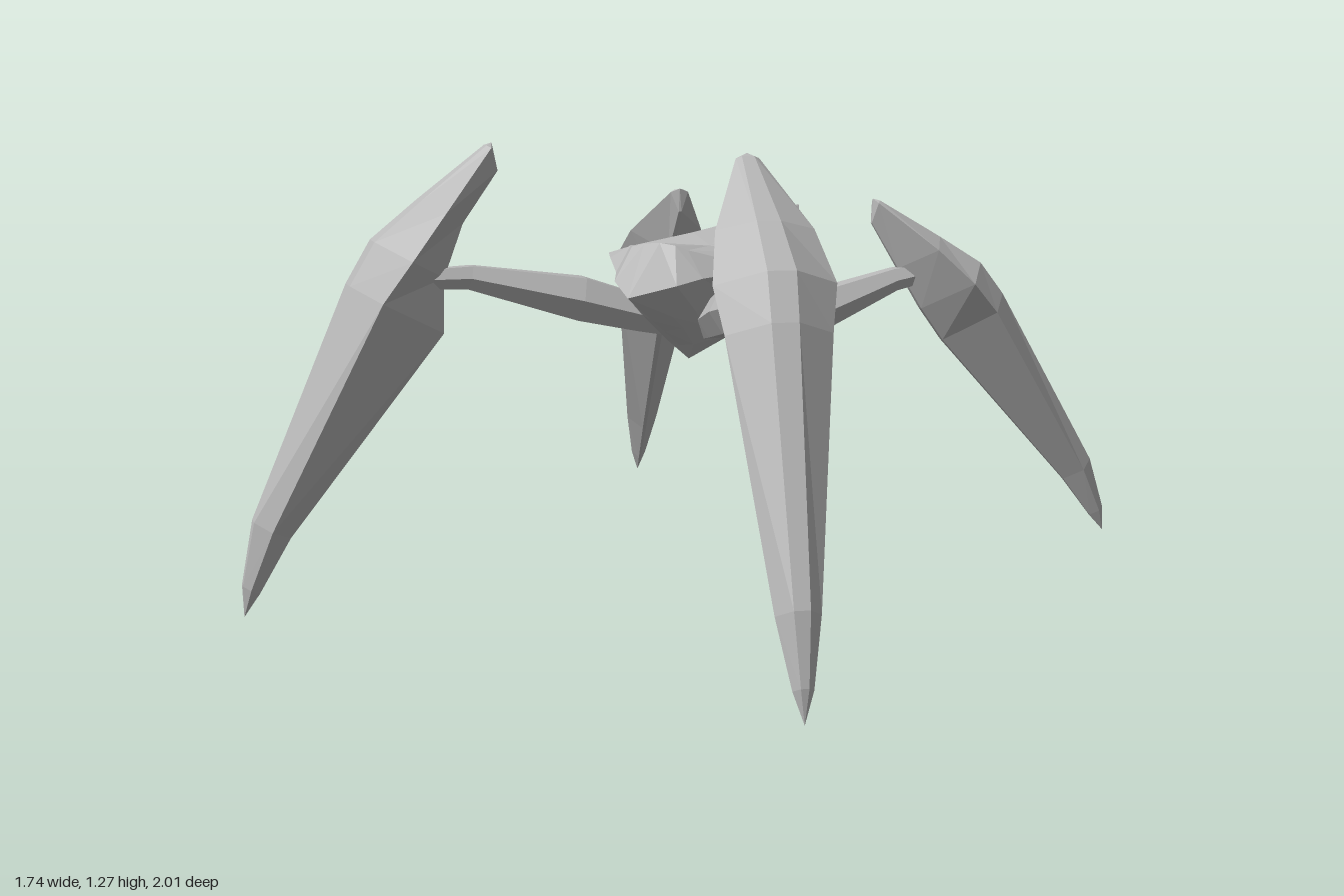
import * as THREE from 'three';

const V = (x, y, z) => new THREE.Vector3(x, y, z);

// Faceted solid through closed rings of equal point count, closed by a fan at each end.
function loft(rings, startTip, endTip) {
  const tris = [];
  const n = rings[0].length;
  for (let i = 0; i < n; i++) {
    const j = (i + 1) % n;
    tris.push([startTip, rings[0][j], rings[0][i]]);
    for (let k = 0; k + 1 < rings.length; k++) {
      const a = rings[k], b = rings[k + 1];
      tris.push([a[i], a[j], b[j]], [a[i], b[j], b[i]]);
    }
    const last = rings[rings.length - 1];
    tris.push([last[i], last[j], endTip]);
  }
  // Turn all faces outward whatever the ring direction
  let volume = 0;
  const c = V(0, 0, 0);
  for (const t of tris) volume += t[0].dot(c.crossVectors(t[1], t[2]));
  const pos = [];
  for (const t of tris) {
    const face = volume < 0 ? [t[0], t[2], t[1]] : t;
    for (const p of face) pos.push(p.x, p.y, p.z);
  }
  const g = new THREE.BufferGeometry();
  g.setAttribute('position', new THREE.Float32BufferAttribute(pos, 3));
  g.computeVertexNormals();
  return g;
}

// Complete a half outline (nose to tail) with its mirrored side
function mirrorRing(half) {
  const right = half.map(p => V(...p));
  const left = half.slice(1, -1).reverse().map(([x, y, z]) => V(-x, y, z));
  return right.concat(left);
}

function bodyGeometry() {
  const top = [[0, 1.0, 0.235], [0.05, 0.995, 0.235], [0.09, 0.985, 0.235], [0.18, 0.97, 0.1],
    [0.24, 0.955, 0], [0.13, 0.985, -0.16], [0.07, 1.01, -0.36], [0, 1.042, -0.45]];
  const rim = [[0, 0.865, 0.4], [0.1, 0.895, 0.31], [0.14, 0.91, 0.24], [0.25, 0.93, 0.1],
    [0.32, 0.93, 0], [0.22, 0.935, -0.15], [0.115, 0.97, -0.38], [0, 1.04, -0.58]];
  const under = [[0, 0.79, 0.28], [0.05, 0.8, 0.25], [0.1, 0.815, 0.21], [0.17, 0.84, 0.1],
    [0.21, 0.85, 0], [0.15, 0.865, -0.12], [0.07, 0.92, -0.32], [0, 0.955, -0.46]];
  const waist = [[0, 0.75, 0.21], [0.05, 0.76, 0.19], [0.09, 0.77, 0.16], [0.13, 0.78, 0.09],
    [0.15, 0.79, 0], [0.12, 0.8, -0.09], [0.06, 0.83, -0.12], [0, 0.84, -0.14]];
  const belly = [[0, 0.7, 0.13], [0.04, 0.705, 0.12], [0.07, 0.715, 0.1], [0.09, 0.72, 0.05],
    [0.1, 0.725, 0], [0.08, 0.73, -0.07], [0.04, 0.72, -0.1], [0, 0.695, -0.08]];
  return loft([top, rim, under, waist, belly].map(mirrorRing),
    V(0, 0.965, -0.04), V(0, 0.655, 0.08));
}

// Six-sided limb; stations are [x, y, z, radius]
function thighGeometry(stations, side) {
  const pts = stations.map(([x, y, z]) => V(side * x, y, z));
  const along = pts[pts.length - 1].clone().sub(pts[0]).normalize();
  const across = V(along.z, 0, -along.x).normalize();
  const up = across.clone().cross(along);
  const rings = pts.map((p, k) => Array.from({ length: 6 }, (_, i) => {
    const a = (i * Math.PI) / 3, r = stations[k][3];
    return p.clone().addScaledVector(across, Math.cos(a) * r).addScaledVector(up, Math.sin(a) * r);
  }));
  return loft(rings, pts[0], pts[pts.length - 1]);
}

// Blade: [distance, outer ridge height, side edge height, half width, ridge half width, sideways bow]
const BLADE = [
  [0.015, 0.012, 0, 0.03, 0.016, 0],
  [0.23, 0.1, 0.045, 0.125, 0.03, 0.016],
  [0.385, 0.16, 0.07, 0.155, 0.036, 0.022],
  [0.52, 0.165, 0.085, 0.134, 0.034, 0.016],
  [1.2, 0.1, 0.05, 0.056, 0.02, 0],
  [1.37, 0.045, 0.022, 0.026, 0.01, 0],
];
const BLADE_LENGTH = 1.446;

function shinGeometry(top, tip, keel) {
  const along = tip.clone().sub(top);
  const s = along.length() / BLADE_LENGTH;
  along.normalize();
  // Sideways axis always points away from the middle of the body
  const across = V(along.z, 0, -along.x).normalize();
  if (across.x * along.x < 0) across.negate();
  const out = along.clone().cross(across);
  if (out.y < 0) out.negate();
  const at = (t, n, w) => top.clone().addScaledVector(along, t * s)
    .addScaledVector(out, n * s).addScaledVector(across, w * s);
  const rings = BLADE.map(([t, ridge, edge, w, rw, bow], k) => {
    const keelT = t + (k ? 0 : 0.045);
    return [
      at(t, ridge, bow + rw), at(t, edge, bow + w), at(keelT, keel[k], bow + rw * 0.3),
      at(keelT, keel[k], bow - rw * 0.3), at(t, edge, bow - w), at(t, ridge, bow - rw),
    ];
  });
  return loft(rings, at(0, 0, 0), tip);
}

const LEGS = {
  front: {
    thigh: [[0.06, 0.745, 0.08, 0.032], [0.13, 0.785, 0.14, 0.058], [0.25, 0.832, 0.26, 0.07],
      [0.46, 0.903, 0.49, 0.038], [0.53, 0.905, 0.59, 0.032]],
    top: [0.4, 1.275, 0.46], tip: [0.862, 0, 1.0],
    keel: [-0.05, -0.035, -0.06, -0.13, -0.012, -0.008],
  },
  back: {
    thigh: [[0.06, 0.74, -0.07, 0.032], [0.12, 0.76, -0.13, 0.05], [0.25, 0.777, -0.27, 0.063],
      [0.385, 0.848, -0.45, 0.037], [0.45, 0.865, -0.53, 0.032]],
    top: [0.33, 1.085, -0.42], tip: [0.857, 0.03, -1.0],
    keel: [-0.05, -0.07, -0.085, -0.085, -0.012, -0.008],
  },
};

export function createModel() {
  const model = new THREE.Group();
  model.name = 'fourLeggedWalker';
  const grey = new THREE.MeshStandardMaterial({ color: 0xb8b8b8 });
  grey.name = 'plain grey';
  const add = (parent, name, geometry) => {
    const m = new THREE.Mesh(geometry, grey);
    m.name = name;
    parent.add(m);
  };

  add(model, 'body', bodyGeometry());

  // Four legs, mirrored left and right
  for (const [place, leg] of Object.entries(LEGS)) {
    for (const side of [1, -1]) {
      const group = new THREE.Group();
      group.name = place + (side > 0 ? 'LeftLeg' : 'RightLeg');
      const flip = ([x, y, z]) => V(side * x, y, z);
      add(group, 'thigh', thighGeometry(leg.thigh, side));
      add(group, 'bladeShin', shinGeometry(flip(leg.top), flip(leg.tip), leg.keel));
      model.add(group);
    }
  }
  return model;
}
